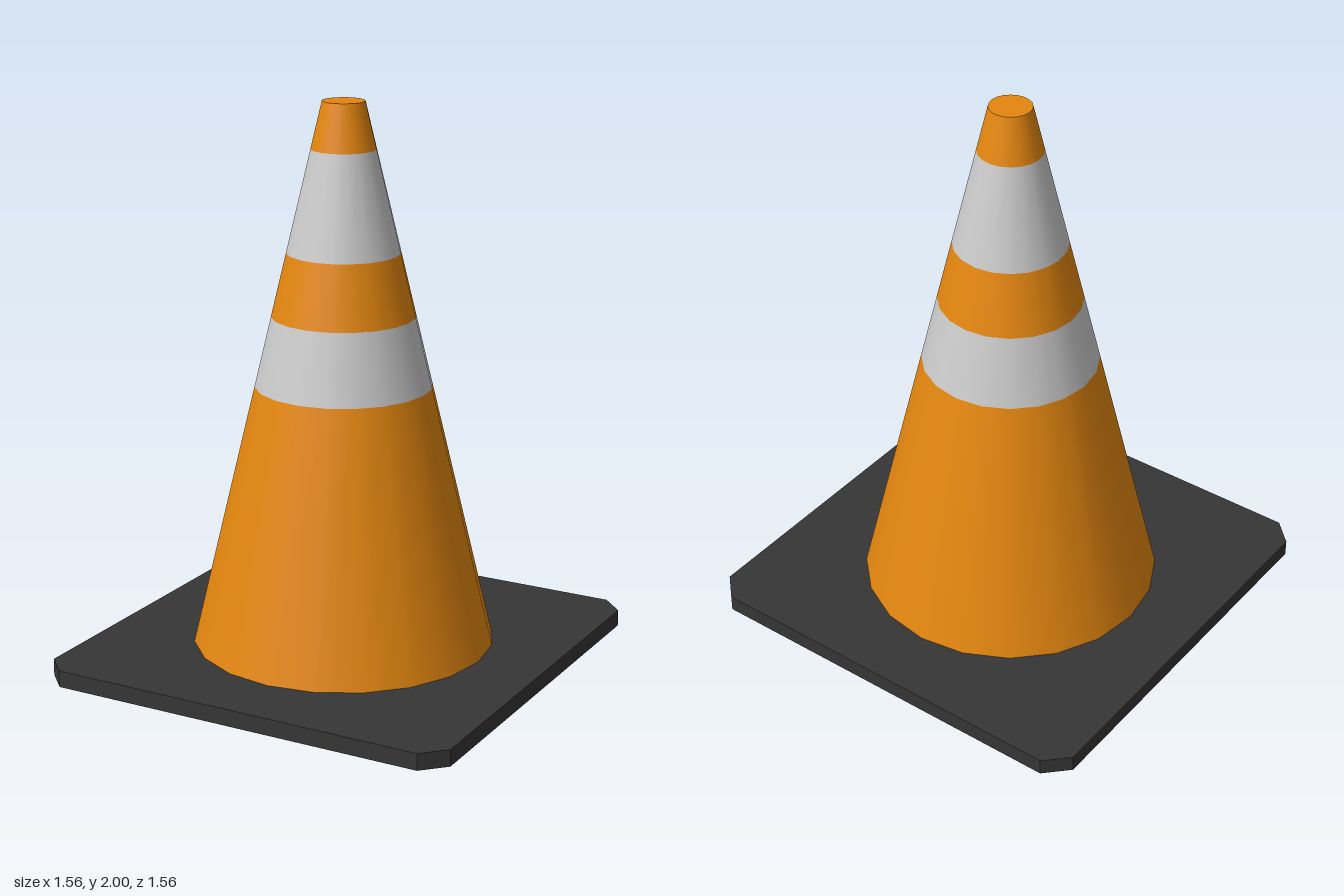
import * as THREE from 'three';

const BASE_HEIGHT = 0.06, TOP = 2, R_BOTTOM = 0.54, R_TOP = 0.075, SIDES = 20;

// Radius of the tapering cone at height y
const radiusAt = (y) =>
  THREE.MathUtils.mapLinear(y, BASE_HEIGHT, TOP, R_BOTTOM, R_TOP);

export function createModel() {
  const model = new THREE.Group();
  model.name = 'trafficCone';

  const rubber = new THREE.MeshStandardMaterial({ color: 0x363636 });
  const orange = new THREE.MeshStandardMaterial({ color: 0xe5870f });
  const grey = new THREE.MeshStandardMaterial({ color: 0xcccccc });

  // Square base plate with cut corners
  const h = 0.78, c = 0.7;
  const outline = new THREE.Shape([
    [c, -h], [h, -c], [h, c], [c, h], [-c, h], [-h, c], [-h, -c], [-c, -h],
  ].map(([x, y]) => new THREE.Vector2(x, y)));
  const plate = new THREE.ExtrudeGeometry(outline, { depth: BASE_HEIGHT, bevelEnabled: false });
  plate.rotateX(-Math.PI / 2);
  const base = new THREE.Mesh(plate, rubber);
  base.name = 'basePlate';
  model.add(base);

  // Cone body, stacked from alternating orange sections and reflective bands
  const sections = [
    ['lowerBody', BASE_HEIGHT, 1, orange],
    ['lowerBand', 1, 1.25, grey],
    ['middleBody', 1.25, 1.475, orange],
    ['upperBand', 1.475, 1.835, grey],
    ['tip', 1.835, TOP, orange],
  ];
  for (const [name, y0, y1, material] of sections) {
    const isTip = y1 === TOP; // only the tip needs a cap
    const geometry = new THREE.CylinderGeometry(
      radiusAt(y1), radiusAt(y0), y1 - y0, SIDES, 1, !isTip);
    const mesh = new THREE.Mesh(geometry, material);
    mesh.name = name;
    mesh.position.y = (y0 + y1) / 2;
    model.add(mesh);
  }

  return model;
}
